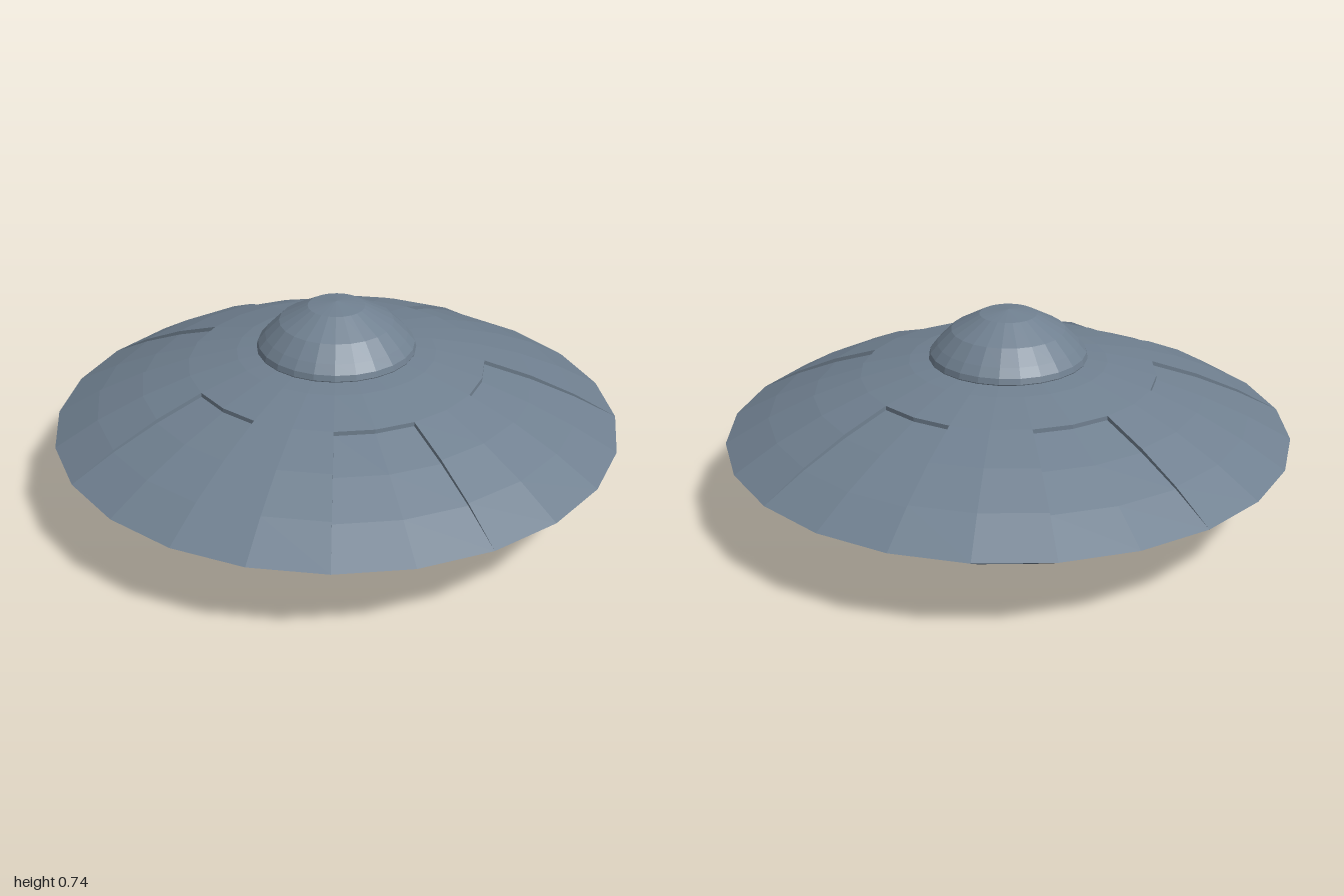
import * as THREE from 'three';

const SIDES = 24, RINGS = 6, PANEL_RING = 3;
const RIM_Y = 0.295, RADIUS = (1 + RIM_Y * RIM_Y) / (2 * RIM_Y);
// depth of the recessed panels at each ring, fading out at the rim
const DROP = [0, 0, 0, 0.015, 0.014, 0.009, 0];

const hullMetal = new THREE.MeshStandardMaterial({ color: 0x708090, flatShading: true, side: THREE.DoubleSide });
hullMetal.name = 'slate grey metal';

// point on the lens-shaped hull: ring 0 is the pole, ring 6 the rim
function hullPoint(ring, i, drop = 0) {
  const t = Math.asin(1 / RADIUS) * ring / RINGS;
  const a = i * 2 * Math.PI / SIDES;
  const r = RADIUS * Math.sin(t);
  const y = 2 * RIM_Y - RADIUS * (1 - Math.cos(t)) - drop;
  return new THREE.Vector3(r * Math.sin(a), y, r * Math.cos(a));
}

function quadMesh(name, quads) {
  const points = quads.flatMap(([a, b, c, d]) => [a, b, c, a, c, d]);
  const geometry = new THREE.BufferGeometry().setFromPoints(points);
  geometry.computeVertexNormals();
  const mesh = new THREE.Mesh(geometry, hullMetal);
  mesh.name = name;
  return mesh;
}

export function createModel() {
  const group = new THREE.Group();
  group.name = 'flyingSaucer';
  const upper = [], lower = [];

  for (let i = 0; i < SIDES; i++) {
    const inPanel = i % 4 === 0 || i % 4 === 3;
    for (let k = 0; k < RINGS; k++) {
      if (!(inPanel && k >= PANEL_RING)) {
        upper.push([hullPoint(k, i), hullPoint(k + 1, i), hullPoint(k + 1, i + 1), hullPoint(k, i + 1)]);
      }
      // underside mirrors the top, without panels
      const flip = (ring, j) => {
        const p = hullPoint(ring, j);
        p.y = 2 * RIM_Y - p.y;
        return p;
      };
      lower.push([flip(k, i + 1), flip(k + 1, i + 1), flip(k + 1, i), flip(k, i)]);
    }
  }
  group.add(quadMesh('upperHull', upper), quadMesh('lowerHull', lower));

  // six recessed panels, each two facets wide
  for (let p = 0; p < 6; p++) {
    const quads = [], first = p * 4 - 1;
    const low = (k, i) => hullPoint(k, i, DROP[k]);
    for (let i = first; i < first + 2; i++) {
      const k0 = PANEL_RING;
      quads.push([low(k0, i), low(k0, i + 1), hullPoint(k0, i + 1), hullPoint(k0, i)]);
      for (let k = k0; k < RINGS; k++) {
        quads.push([low(k, i), low(k + 1, i), low(k + 1, i + 1), low(k, i + 1)]);
      }
    }
    // side walls
    for (let k = PANEL_RING; k < RINGS; k++) {
      const wall = (i) => [hullPoint(k, i), hullPoint(k + 1, i), low(k + 1, i), low(k, i)];
      quads.push(wall(first), wall(first + 2).reverse());
    }
    group.add(quadMesh('recessedPanel' + (p + 1), quads));
  }

  // cockpit dome
  const profile = [[0.27, 0.55], [0.28, 0.57], [0.275, 0.59], [0.25, 0.62], [0.2, 0.67], [0.1, 0.725], [0, 0.74]];
  const dome = new THREE.Mesh(
    new THREE.LatheGeometry(profile.map(([x, y]) => new THREE.Vector2(x, y)), SIDES), hullMetal);
  dome.name = 'cockpitDome';
  group.add(dome);
  return group;
}
